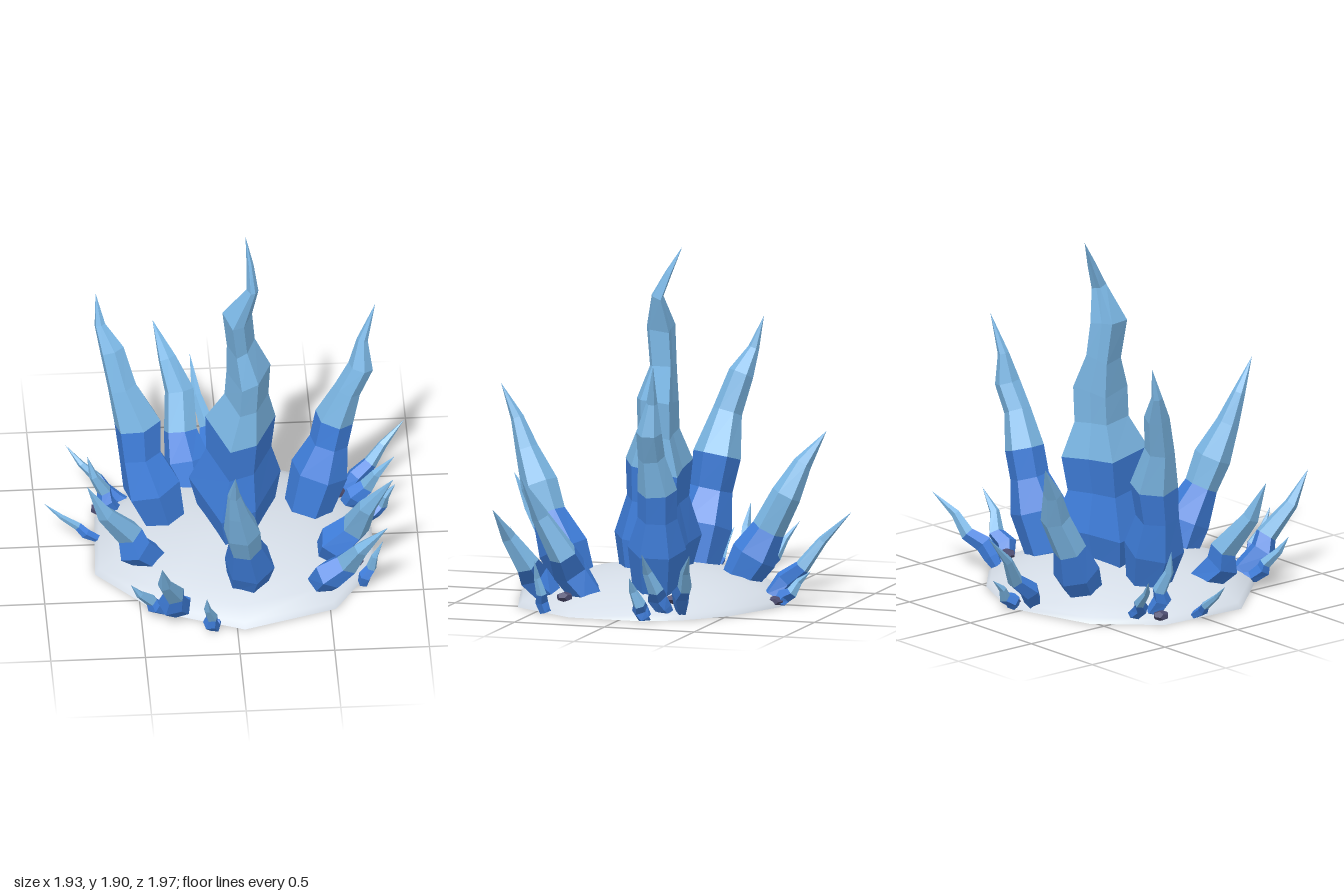
import * as THREE from 'three';

const ice = new THREE.MeshStandardMaterial({ color: 0x7cb8e6 });
ice.name = 'pale ice blue';
const deep = new THREE.MeshStandardMaterial({ color: 0x3f7edb });
deep.name = 'deep blue';
const snow = new THREE.MeshStandardMaterial({ color: 0xd6dee8, side: THREE.DoubleSide });
snow.name = 'snow grey';
const stone = new THREE.MeshStandardMaterial({ color: 0x4c4c70 });
stone.name = 'dark stone';

const regular = (n, turn) => Array.from({ length: n }, (_, i) => {
  const a = turn + (i / n) * Math.PI * 2;
  return [Math.cos(a), Math.sin(a)];
});

// Flat-shaded skin over a run of rings
function skin(rings) {
  const pos = [];
  const tri = (...pts) => pts.forEach(p => pos.push(p.x, p.y, p.z));
  const n = rings[0].length;
  for (let k = 0; k < rings.length - 1; k++) {
    for (let i = 0; i < n; i++) {
      const j = (i + 1) % n, lo = rings[k], up = rings[k + 1];
      tri(lo[i], up[i], lo[j]);
      if (up[i].distanceTo(up[j]) > 1e-5) tri(lo[j], up[i], up[j]);
    }
  }
  const g = new THREE.BufferGeometry();
  g.setAttribute('position', new THREE.Float32BufferAttribute(pos, 3));
  g.computeVertexNormals();
  return g;
}

// Crystal along a path of [x, y, z, radius]; the colour changes at ring number `split`.
// An open, tapered root continues it backwards under the mound.
function spike(name, path, split, outline) {
  const [first, second] = path;
  const back = [0, 1, 2].map(i => first[i] + (first[i] - second[i]) * 0.8);
  const full = [[back[0], Math.max(back[1], 0.03), back[2], first[3] * 0.65], ...path];
  const centres = full.map(p => new THREE.Vector3(p[0], p[1], p[2]));
  const up = new THREE.Vector3(0, 1, 0);
  const rings = full.map((p, k) => {
    const a = centres[Math.max(k === 1 ? 1 : 0, k - 1)], b = centres[Math.min(full.length - 1, k + 1)];
    const dir = b.clone().sub(a).normalize();
    const q = new THREE.Quaternion().setFromUnitVectors(up, dir);
    return outline.map(([x, z]) => {
      const v = new THREE.Vector3(x * p[3], 0, z * p[3]).applyQuaternion(q).add(centres[k]);
      v.y = Math.max(v.y, 0);
      return v;
    });
  });
  const group = new THREE.Group();
  group.name = name;
  const root = new THREE.Mesh(skin(rings.slice(0, split + 2)), deep);
  root.name = 'crystalRoot';
  const tip = new THREE.Mesh(skin(rings.slice(split + 1)), ice);
  tip.name = 'crystalTip';
  group.add(root, tip);
  return group;
}

// Small crystal: slightly crooked path from base to tip
function shard(name, base, tip, r, turn) {
  const stations = [[0, 0.85], [0.2, 1], [0.38, 0.8], [0.66, 0.5], [1, 0]];
  const path = stations.map(([t, s], k) => {
    const wob = k === 4 ? 0 : (k % 2 ? -0.2 : 0.2) * r;
    return [
      base[0] + (tip[0] - base[0]) * t + wob,
      base[1] + (tip[1] - base[1]) * t - (k === 2 ? 0.2 * r : 0),
      base[2] + (tip[2] - base[2]) * t - wob,
      r * s,
    ];
  });
  return spike(name, path, 2, regular(5, turn));
}

// Low smooth mound with an uneven rim
function mound() {
  const rim = [[0.76, -0.13], [0.76, 0.28], [0.53, 0.64], [0.04, 0.79], [-0.41, 0.61], [-0.72, 0.26],
    [-0.69, -0.24], [-0.42, -0.53], [0.08, -0.67], [0.455, -0.51], [0.66, -0.32]];
  const profile = [[1, 0], [0.97, 0.03], [0.85, 0.075], [0.68, 0.12], [0.45, 0.155], [0.2, 0.175], [0, 0.18]];
  const n = rim.length, pos = [], idx = [];
  for (const [s, y] of profile) for (const [x, z] of rim) pos.push(0.02 + (x - 0.02) * s, y, 0.05 + (z - 0.05) * s);
  for (let k = 0; k < profile.length - 1; k++) {
    for (let i = 0; i < n; i++) {
      const a = k * n + i, b = k * n + (i + 1) % n;
      idx.push(a, a + n, b, b, a + n, b + n);
    }
  }
  const g = new THREE.BufferGeometry();
  g.setAttribute('position', new THREE.Float32BufferAttribute(pos, 3));
  g.setIndex(idx);
  g.computeVertexNormals();
  const mesh = new THREE.Mesh(g, snow);
  mesh.name = 'mound';

  // Inner lip under the rim
  const ring = (s, y) => rim.map(([x, z]) => new THREE.Vector3(0.02 + (x - 0.02) * s, y, 0.05 + (z - 0.05) * s));
  const lip = new THREE.Mesh(skin([ring(0.9, 0.04), ring(0.95, 0.005), ring(1, 0)]), snow);
  lip.name = 'moundLip';
  return [mesh, lip];
}

export function createModel() {
  const model = new THREE.Group();
  model.name = 'iceCrystals';
  model.add(...mound());

  // Tall crystals, swelling and narrowing along their length
  const wedge = [[0.36, 0.6], [-0.36, 1], [-0.92, -0.68], [0.04, -0.72], [0.96, -0.88]];
  const hex = regular(6, 0.3);
  model.add(
    spike('centreCrystal', [[0.05, 0.13, 0.05, 0.21], [0.04, 0.32, 0.04, 0.26], [0.06, 0.53, 0.03, 0.185],
      [0.07, 0.72, 0.02, 0.2], [0.1, 0.9, 0.01, 0.125], [0.11, 1.07, 0.01, 0.125], [0.07, 1.25, -0.01, 0.08],
      [0.05, 1.45, 0.01, 0.085], [0.13, 1.63, 0, 0.035], [0.12, 1.76, -0.06, 0.02], [0.1, 1.9, -0.13, 0]], 3, wedge),
    spike('rightCrystal', [[-0.34, 0.13, -0.06, 0.12], [-0.4, 0.33, -0.07, 0.16], [-0.46, 0.52, -0.1, 0.115],
      [-0.47, 0.7, -0.13, 0.128], [-0.55, 0.92, -0.16, 0.08], [-0.6, 1.12, -0.22, 0.068],
      [-0.66, 1.25, -0.27, 0.03], [-0.68, 1.42, -0.32, 0]], 3, hex),
    spike('leftCrystal', [[0.43, 0.13, -0.1, 0.13], [0.49, 0.35, -0.12, 0.155], [0.54, 0.52, -0.14, 0.105],
      [0.57, 0.67, -0.15, 0.105], [0.64, 0.86, -0.14, 0.072], [0.71, 1.0, -0.15, 0.068],
      [0.72, 1.16, -0.17, 0.03], [0.79, 1.37, -0.2, 0]], 3, hex),
    spike('frontCrystal', [[0.07, 0.1, 0.48, 0.11], [0.08, 0.25, 0.54, 0.135], [0.05, 0.43, 0.63, 0.09],
      [0.03, 0.58, 0.69, 0.1], [0.0, 0.76, 0.77, 0.062], [-0.02, 0.92, 0.83, 0.035], [-0.02, 1.1, 0.92, 0]], 2, hex),
    spike('backCrystal', [[-0.17, 0.1, -0.36, 0.1], [-0.19, 0.22, -0.43, 0.125], [-0.22, 0.36, -0.5, 0.09],
      [-0.22, 0.55, -0.6, 0.08], [-0.28, 0.71, -0.67, 0.05], [-0.35, 0.88, -0.78, 0]], 2, hex),
  );

  // Smaller crystals around the mound: name, base, tip, radius
  const shards = [
    ['frontLeftShard', [0.5, 0.08, 0.27], [0.84, 0.75, 0.52], 0.1],
    ['frontLeftLowShard', [0.44, 0.08, 0.52], [0.8, 0.56, 0.69], 0.085],
    ['frontRightShard', [-0.43, 0.08, 0.26], [-0.77, 0.68, 0.39], 0.095],
    ['frontRightLowShard', [-0.31, 0.04, 0.64], [-0.41, 0.56, 0.98], 0.075],
    ['frontRightTinyShard', [-0.39, 0.03, 0.63], [-0.56, 0.27, 0.72], 0.042],
    ['frontTinyShard', [-0.13, 0.01, 0.78], [-0.17, 0.31, 0.92], 0.04],
    ['backShard', [-0.03, 0.03, -0.57], [-0.14, 0.49, -0.99], 0.054],
    ['backTinyShard', [0.05, 0.02, -0.65], [0.03, 0.19, -0.82], 0.042],
    ['rightBackShard', [-0.57, 0.05, -0.33], [-0.83, 0.31, -0.47], 0.038],
    ['rightTinyShard', [-0.69, 0.01, -0.03], [-0.97, 0.24, -0.06], 0.029],
    ['rightHiddenShard', [-0.6, 0.05, -0.22], [-0.73, 0.41, -0.23], 0.05],
    ['leftBackShard', [0.64, 0.08, -0.3], [0.96, 0.4, -0.46], 0.05],
    ['leftShard', [0.64, 0.06, -0.2], [0.89, 0.38, -0.17], 0.055],
    ['leftTinyShard', [0.76, 0.02, -0.14], [0.89, 0.25, -0.1], 0.045],
    ['leftFrontTinyShard', [0.68, 0.01, 0.44], [0.79, 0.3, 0.46], 0.036],
  ];
  shards.forEach(([name, base, tip, r], i) => model.add(shard(name, base, tip, r, i * 0.7)));

  // Flat stones tucked under the crystals
  [[0.65, 0.09, 0.34], [0.07, 0.03, -0.64], [-0.67, 0.05, -0.25], [0.59, 0.1, -0.25]].forEach((p, i) => {
    const rock = new THREE.Mesh(new THREE.DodecahedronGeometry(0.045, 0), stone);
    rock.name = 'stone';
    rock.scale.y = 0.6;
    rock.rotation.y = i;
    rock.position.set(...p);
    model.add(rock);
  });
  return model;
}
